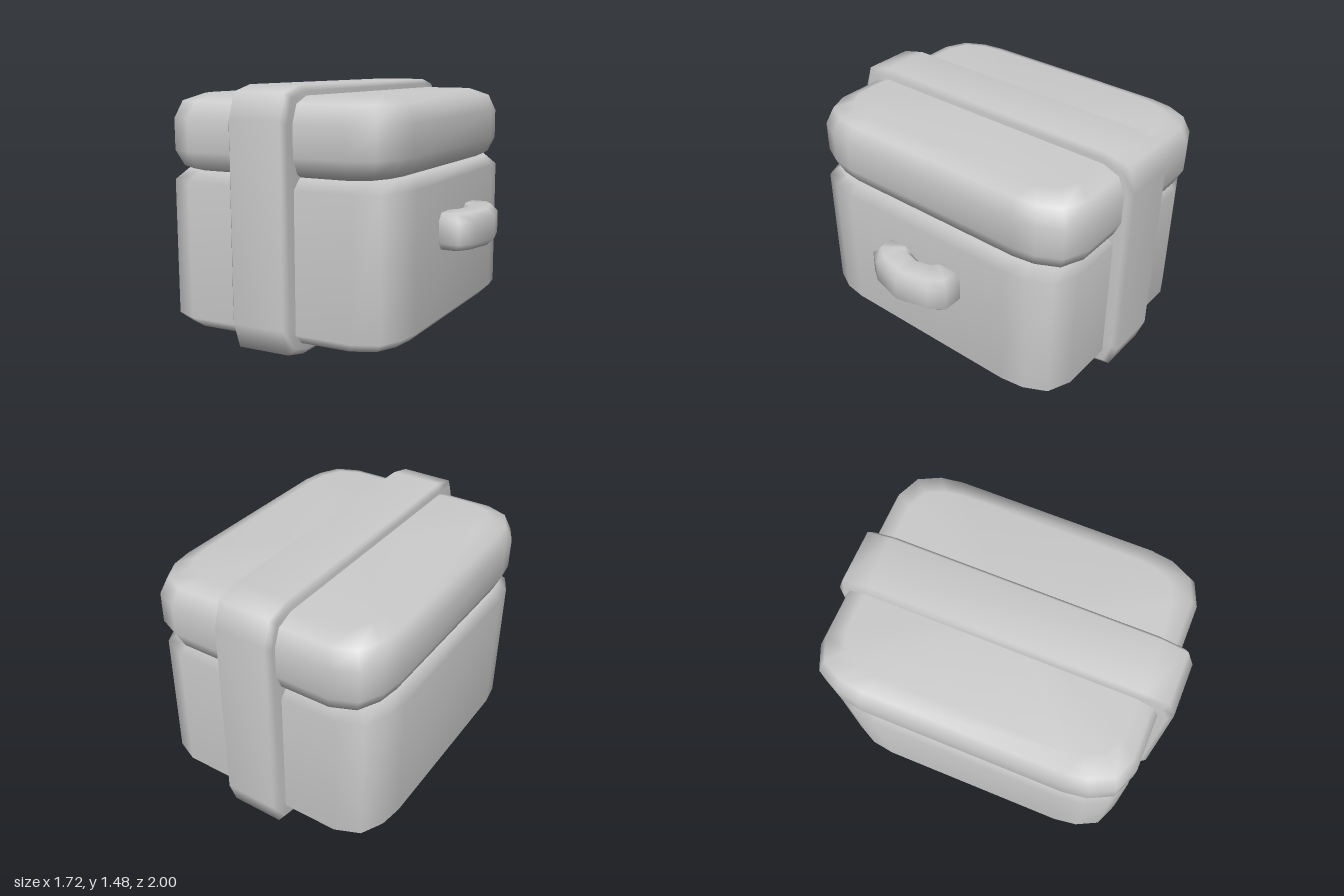
import * as THREE from 'three';

const material = new THREE.MeshStandardMaterial({ color: 0xcccccc });

// Skins a stack of equal rings of points and closes both ends with fans.
function loft(rings) {
  const n = rings[0].length;
  const points = rings.flat();
  const index = [];
  for (let i = 0; i < rings.length - 1; i++) {
    for (let j = 0; j < n; j++) {
      const a = i * n + j, b = i * n + (j + 1) % n;
      index.push(a, a + n, b, b, a + n, b + n);
    }
  }
  [[0, false], [rings.length - 1, true]].forEach(([r, top]) => {
    const centre = rings[r].reduce((s, p) => s.add(p), new THREE.Vector3()).divideScalar(n);
    const c = points.push(centre) - 1;
    for (let j = 0; j < n; j++) {
      const a = r * n + j, b = r * n + (j + 1) % n;
      if (top) index.push(c, b, a);
      else index.push(c, a, b);
    }
  });
  const geometry = new THREE.BufferGeometry().setFromPoints(points);
  geometry.setIndex(index);
  geometry.computeVertexNormals();
  return geometry;
}

// Rectangle with faceted corners; corner lists [dx, dz] offsets from the sharp corner.
function ring(hx, hz, y, inset, corner) {
  const shrink = 1 - 1.5 * inset;
  return [[1, 1], [-1, 1], [-1, -1], [1, -1]].flatMap(([sx, sz]) => {
    const steps = sx * sz > 0 ? corner : [...corner].reverse();
    return steps.map(([dx, dz]) => new THREE.Vector3(
      sx * (hx - inset - dx * shrink), y, sz * (hz - inset - dz * shrink)));
  });
}

// Pillow-edged block from a profile of [inset, y] steps.
function block(hx, hz, profile, corner) {
  return loft(profile.map(([inset, y]) => ring(hx, hz, y, inset, corner)));
}

export function createModel() {
  const group = new THREE.Group();
  const add = (name, geometry) => {
    const mesh = new THREE.Mesh(geometry, material);
    mesh.name = name;
    group.add(mesh);
    return mesh;
  };
  const boxCorner = [[0, 0.33], [0.02, 0.19], [0.085, 0.06], [0.225, 0]];

  // Box body with narrow chamfers
  const body = add('body', block(0.743, 0.912,
    [[0.06, 0.08], [0, 0.14], [0, 0.93], [0.06, 0.99]], boxCorner));
  body.position.x = -0.118;

  // Thick rounded lid
  const lid = add('lid', block(0.727, 0.932,
    [[0.09, 0.985], [0.04, 1.01], [0, 1.1], [0, 1.28], [0.04, 1.38], [0.14, 1.42]], boxCorner));
  lid.position.set(-0.125, 0, -0.016);

  // Strap around the box, lofted along its width
  const strapCorner = [[0, 0.2], [0.035, 0.05], [0.18, 0]];
  const strap = block(0.738, 1,
    [[0.2, -0.183], [0.03, -0.183], [0, -0.158], [0, 0.158], [0.03, 0.183], [0.2, 0.183]], strapCorner);
  strap.rotateZ(-Math.PI / 2);
  add('strap', strap).position.set(-0.122, 0.738, 0);

  // Side handle: chamfered section between an outer and an inner path [x, z]
  const half = [
    [[0.58, 0.283], [0.57, 0.1]],
    [[0.745, 0.283], [0.6, 0.09]],
    [[0.805, 0.2], [0.625, 0.07]],
  ];
  const flip = ([x, z]) => [x, -z];
  const stations = [
    ...half.map((s) => s.map(flip)),
    [[0.855, 0], [0.645, 0]],
    ...[...half].reverse(),
  ];
  const section = [[1, 0.065], [1, -0.065], [0.8, -0.107], [0.2, -0.107],
    [0, -0.065], [0, 0.065], [0.2, 0.107], [0.8, 0.107]];
  const handle = loft(stations.map(([o, i]) => section.map(([t, y]) =>
    new THREE.Vector3(i[0] + (o[0] - i[0]) * t, y, i[1] + (o[1] - i[1]) * t))));
  add('handle', handle).position.set(0, 0.648, 0.005);

  return group;
}
